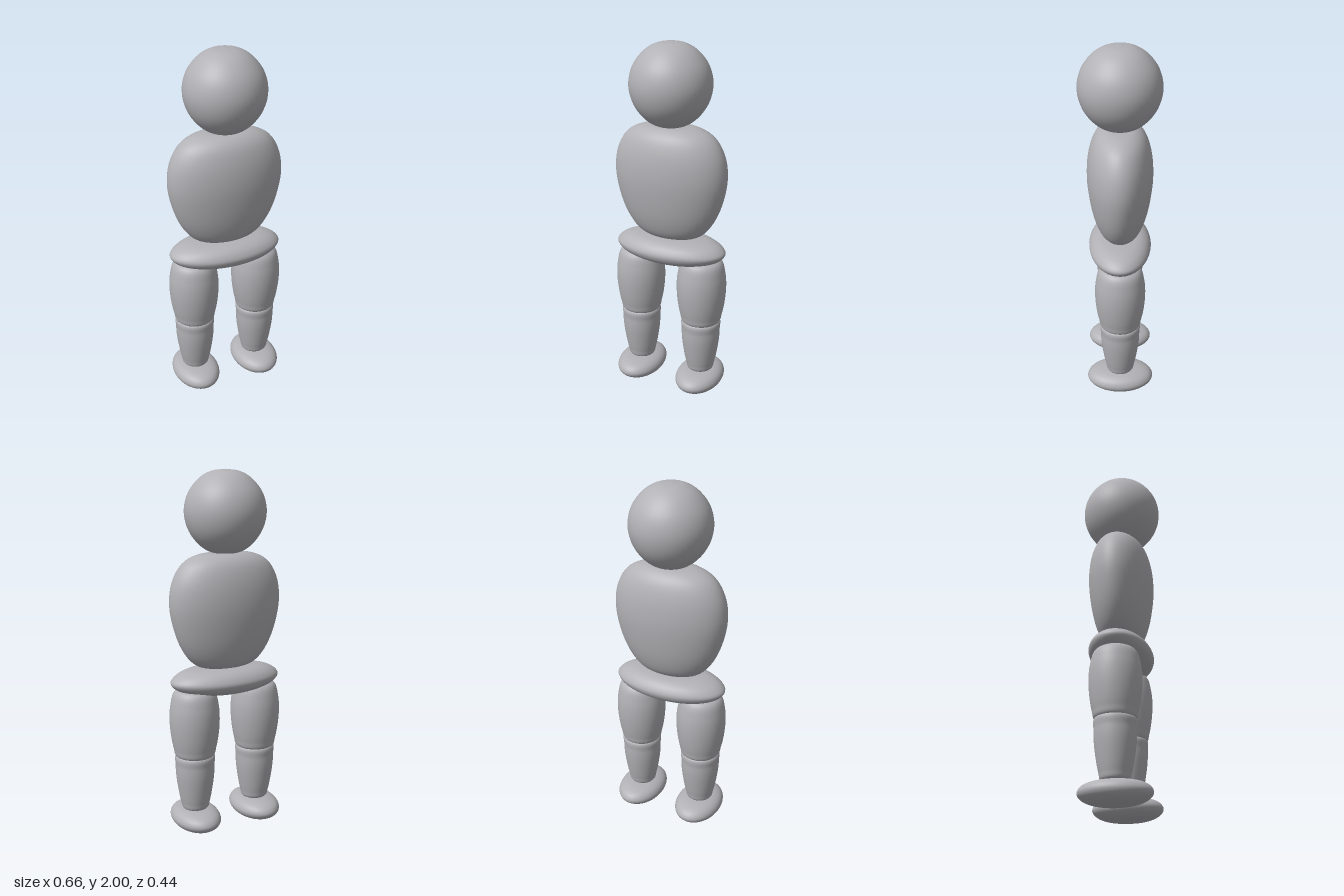
import * as THREE from 'three';

const grey = new THREE.MeshStandardMaterial({ color: 0xb2b2b6 });
grey.name = 'plain grey';

// Smooth rounded body: a profile of [radius, height] points, bottom to top,
// turned around y and squashed in depth to an elliptical cross-section.
function roundedBody(name, profile, depth = 1) {
  const curve = new THREE.CatmullRomCurve3(
    profile.map(([r, y]) => new THREE.Vector3(r, y, 0)), false, 'centripetal');
  const points = curve.getPoints(48).map(p => new THREE.Vector2(Math.max(p.x, 0), p.y));
  const geometry = new THREE.LatheGeometry(points, 48);
  geometry.scale(1, 1, depth);
  const mesh = new THREE.Mesh(geometry, grey);
  mesh.name = name;
  return mesh;
}

export function createModel() {
  const model = new THREE.Group();
  model.name = 'figure';

  // Head
  model.add(roundedBody('head', [
    [0, 1.56], [0.08, 1.565], [0.145, 1.607], [0.2, 1.685], [0.221, 1.78],
    [0.2, 1.875], [0.14, 1.953], [0.075, 1.99], [0, 2],
  ]));

  // Torso, broad at the chest and narrower at the waist
  model.add(roundedBody('torso', [
    [0, 0.932], [0.14, 0.935], [0.2, 0.968], [0.26, 1.05], [0.305, 1.17], [0.325, 1.3],
    [0.306, 1.42], [0.25, 1.51], [0.16, 1.555], [0, 1.562],
  ], 0.55));

  // Hips
  model.add(roundedBody('hips', [
    [0, 0.782], [0.15, 0.785], [0.25, 0.805], [0.308, 0.833], [0.325, 0.862],
    [0.3, 0.893], [0.245, 0.918], [0.16, 0.93], [0, 0.932],
  ], 0.535));

  // Legs
  for (const [side, sign] of [['left', 1], ['right', -1]]) {
    const leg = new THREE.Group();
    leg.name = side + 'Leg';
    leg.position.x = sign * 0.191;
    leg.add(
      roundedBody('thigh', [
        [0, 0.826], [0.075, 0.825], [0.113, 0.803], [0.134, 0.73], [0.14, 0.65],
        [0.134, 0.56], [0.12, 0.48], [0.105, 0.435], [0, 0.433],
      ].reverse()),
      roundedBody('shin', [
        [0, 0.118], [0.07, 0.12], [0.083, 0.16], [0.098, 0.24], [0.108, 0.32],
        [0.11, 0.38], [0.107, 0.437], [0, 0.439],
      ]),
      roundedBody('foot', [
        [0, 0], [0.06, 0.002], [0.1, 0.016], [0.126, 0.04], [0.133, 0.064],
        [0.123, 0.09], [0.1, 0.108], [0.06, 0.119], [0, 0.12],
      ], 1.43),
    );
    model.add(leg);
  }
  return model;
}
